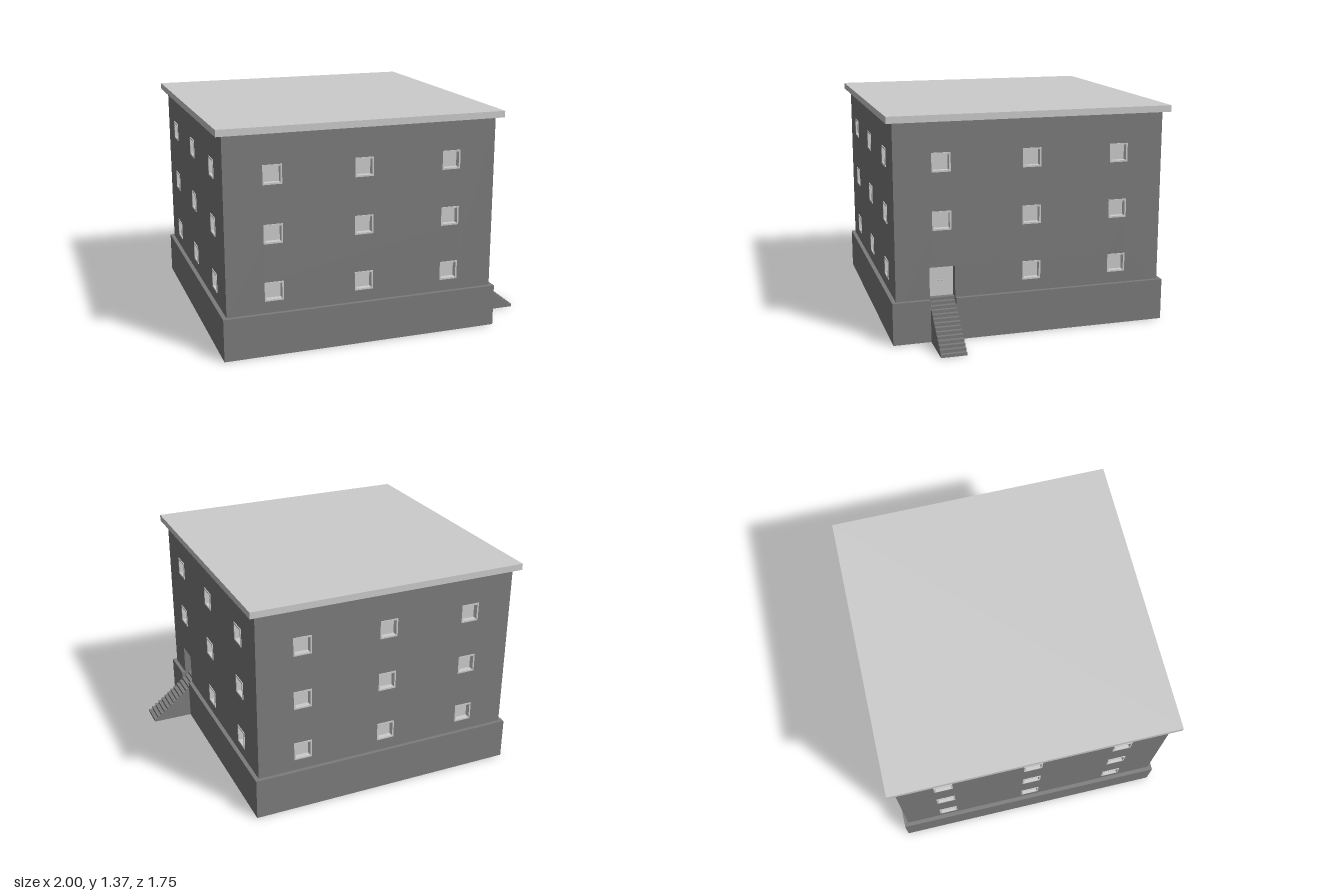
import * as THREE from 'three';

const light = new THREE.MeshStandardMaterial({ color: 0xcccccc });
const dark = new THREE.MeshStandardMaterial({ color: 0x7b7b7b });

const CX = -0.1225;                      // middle of the building in x
const WALL = { hx: 0.8375, hz: 0.835, y0: 0.26, y1: 1.327, t: 0.055 };
const BASE = { hx: 0.8625, hz: 0.86 };
const DOOR = { z0: 0.475, z1: 0.63, top: 0.455, x: 0.66 };
const COLUMNS = [-0.5525, 0, 0.5525];
const ROWS = [0.39, 0.737, 1.085];
const WIN = { outer: 0.0575, inner: 0.0475, recess: 0.03, proud: 0.005 };

function add(parent, name, geometry, material, x = 0, y = 0, z = 0) {
  const mesh = new THREE.Mesh(geometry, material);
  mesh.name = name;
  mesh.position.set(x, y, z);
  parent.add(mesh);
  return mesh;
}

const polygon = (points) => new THREE.Shape(points.map(([x, y]) => new THREE.Vector2(x, y)));

const square = (x, y, h) => [[x - h, y - h], [x + h, y - h], [x + h, y + h], [x - h, y + h]];

const extrude = (shape, depth) => new THREE.ExtrudeGeometry(shape, { depth, bevelEnabled: false });

// Raised frame lining the opening
const frameShape = polygon(square(0, 0, WIN.outer));
frameShape.holes.push(polygon(square(0, 0, WIN.inner)));
const frameGeometry = extrude(frameShape, WIN.recess + WIN.proud);
const paneGeometry = new THREE.BoxGeometry(2 * WIN.outer, 2 * WIN.outer, 0.01);

// One side of the house: local z = 0 is the outer wall face
function facade(name, halfWidth, hasDoor) {
  const group = new THREE.Group();
  group.name = name;
  const outline = [[-halfWidth, WALL.y0]];
  if (hasDoor) {
    outline.push([-DOOR.z1, WALL.y0], [-DOOR.z1, DOOR.top], [-DOOR.z0, DOOR.top], [-DOOR.z0, WALL.y0]);
  }
  outline.push([halfWidth, WALL.y0], [halfWidth, WALL.y1], [-halfWidth, WALL.y1]);
  const shape = polygon(outline);

  ROWS.forEach((y, row) => COLUMNS.forEach((x, column) => {
    if (hasDoor && row === 0 && column === 0) return;
    shape.holes.push(polygon(square(x, y, WIN.outer)));
    const win = new THREE.Group();
    win.name = 'window';
    win.position.set(x, y, 0);
    add(win, 'windowFrame', frameGeometry, light, 0, 0, -WIN.recess);
    add(win, 'windowPane', paneGeometry, light, 0, 0, -WIN.recess - 0.005);
    group.add(win);
  }));
  add(group, 'wall', extrude(shape, WALL.t), dark, 0, 0, -WALL.t);
  return group;
}

export function createModel() {
  const house = new THREE.Group();
  house.name = 'house';

  // Plinth, notched where the stairs run in
  const left = CX - BASE.hx, right = CX + BASE.hx;
  const plan = polygon([
    [left, -BASE.hz], [right, -BASE.hz], [right, -DOOR.z1], [DOOR.x, -DOOR.z1],
    [DOOR.x, -DOOR.z0], [right, -DOOR.z0], [right, BASE.hz], [left, BASE.hz],
  ]);
  add(house, 'plinth', extrude(plan, WALL.y0).rotateX(-Math.PI / 2), dark);

  // Four walls with windows
  const sides = [
    ['frontWall', WALL.hx, 0, CX, WALL.hz, false],
    ['doorWall', WALL.hz - WALL.t, Math.PI / 2, CX + WALL.hx, 0, true],
    ['backWall', WALL.hx, Math.PI, CX, -WALL.hz, false],
    ['plainSideWall', WALL.hz - WALL.t, -Math.PI / 2, CX - WALL.hx, 0, false],
  ];
  for (const [name, halfWidth, turn, x, z, hasDoor] of sides) {
    const side = facade(name, halfWidth, hasDoor);
    side.rotation.y = turn;
    side.position.set(x, 0, z);
    house.add(side);
  }

  // Flat roof slab
  add(house, 'roof', new THREE.BoxGeometry(1.755, 0.04, 1.75), light, CX, 1.347, 0);

  // Stairs climbing through the plinth to the door
  const steps = 14, rise = WALL.y0 / steps, run = 0.0236;
  const profile = [[DOOR.x, 0], [1, 0]];
  for (let i = 0; i < steps; i++) {
    profile.push([1 - i * run, (i + 1) * rise]);
    profile.push([i < steps - 1 ? 1 - (i + 1) * run : DOOR.x, (i + 1) * rise]);
  }
  add(house, 'stairs', extrude(polygon(profile), DOOR.z1 - DOOR.z0), dark, 0, 0, DOOR.z0);

  // Recessed door with two small knobs
  const doorZ = (DOOR.z0 + DOOR.z1) / 2, doorHeight = DOOR.top - WALL.y0;
  add(house, 'door', new THREE.BoxGeometry(0.02, doorHeight, DOOR.z1 - DOOR.z0), light,
    DOOR.x - 0.01, WALL.y0 + doorHeight / 2, doorZ);
  for (const side of [-1, 1]) {
    add(house, 'doorKnob', new THREE.SphereGeometry(0.004, 10, 8), light,
      DOOR.x + 0.003, 0.357, doorZ + side * 0.01);
  }
  return house;
}
